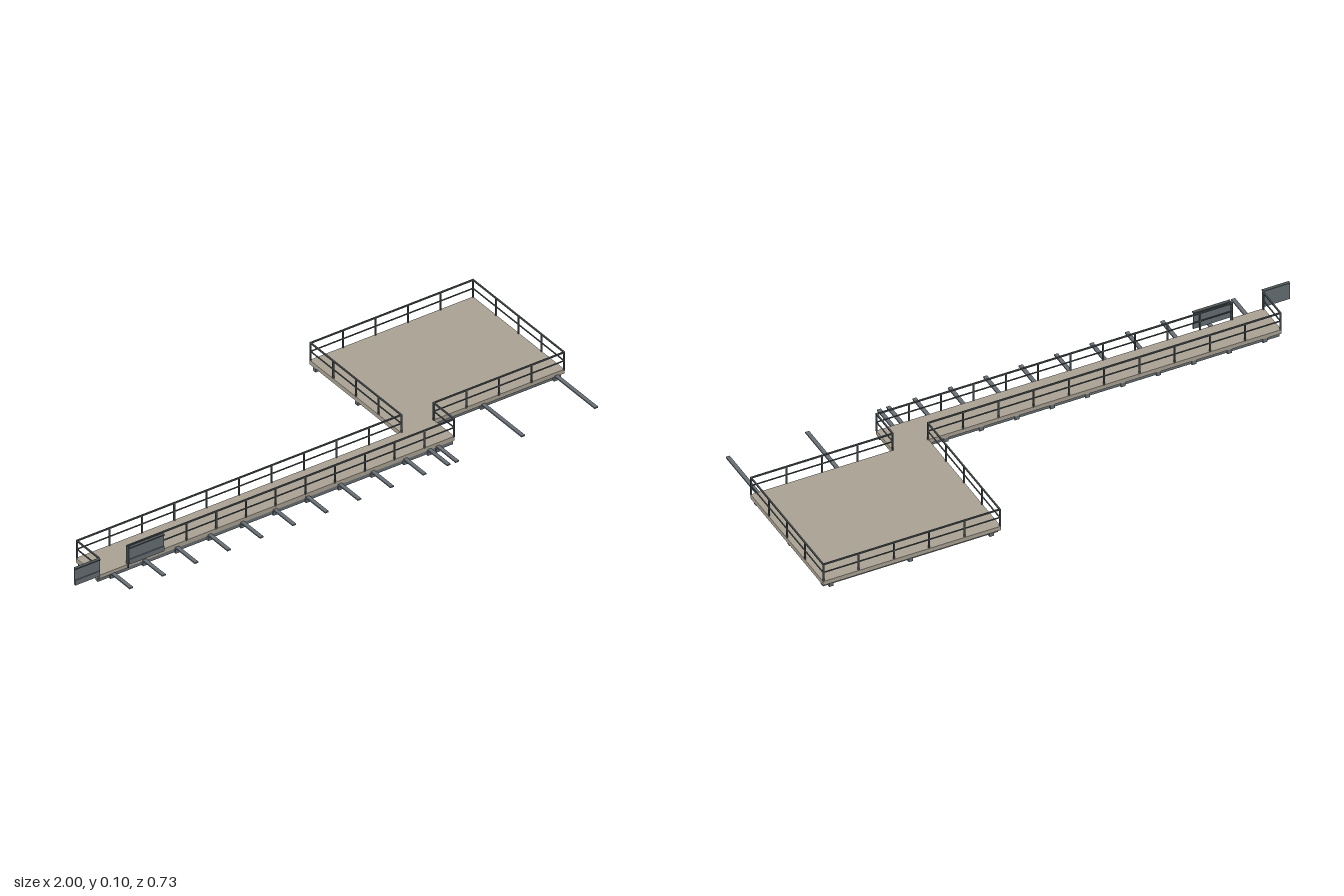
import * as THREE from 'three';

const mat = (name, color) => {
  const m = new THREE.MeshStandardMaterial({ color });
  m.name = name;
  return m;
};

export function createModel() {
  const root = new THREE.Group();
  root.name = 'jettyWithPlatform';
  const deckMat = mat('deck tan', 0xa9a193);
  const steel = mat('slate steel', 0x666e74);
  const railMat = mat('rail grey', 0x50575a);

  // Box given by its two opposite corners
  const box = (name, m, x0, x1, y0, y1, z0, z1, parent = root) => {
    const mesh = new THREE.Mesh(new THREE.BoxGeometry(x1 - x0, y1 - y0, z1 - z0), m);
    mesh.position.set((x0 + x1) / 2, (y0 + y1) / 2, (z0 + z1) / 2);
    mesh.name = name;
    parent.add(mesh);
    return mesh;
  };

  // Deck: one slab for the walkway and the wide platform
  const outline = [[-0.905, 0.14], [0.36, 0.14], [0.36, -0.367], [0.997, -0.367],
    [0.997, 0.143], [0.488, 0.143], [0.488, 0.258], [-0.905, 0.258]];
  const shape = new THREE.Shape(outline.map(([x, z]) => new THREE.Vector2(x, -z)));
  const slab = new THREE.ExtrudeGeometry(shape, { depth: 0.016, bevelEnabled: false });
  slab.rotateX(-Math.PI / 2);
  const deck = new THREE.Mesh(slab, deckMat);
  deck.name = 'deck';
  deck.position.y = 0.017;
  root.add(deck);
  box('threshold', deckMat, -0.905, -0.79, 0.02, 0.033, 0.256, 0.265);

  // Platform beams in both directions
  for (const z of [-0.344, -0.109, 0.126])
    box('platformCrossBeam', steel, 0.362, 0.99, 0.001, 0.017, z - 0.008, z + 0.008);
  for (const x of [0.39, 0.68, 0.965])
    box('platformLongBeam', steel, x - 0.008, x + 0.008, 0, 0.0172, -0.363, 0.142);

  // Walkway stringers
  for (const z of [0.152, 0.25])
    box('walkwayStringer', steel, -0.9, 0.484, 0.003, 0.017, z - 0.006, z + 0.006);

  // Cross beams below the walkway, with thin struts reaching forward
  const walkX = [0.39, 0.423];
  for (let i = 0; i < 10; i++) walkX.push(-0.847 + i * 0.127);
  for (const x of walkX) {
    box('walkwayCrossBeam', steel, x - 0.008, x + 0.008, 0, 0.0172, 0.142, 0.262);
    box('strut', steel, x - 0.007, x + 0.007, 0.0175, 0.022, 0.25, 0.367);
  }
  for (const x of [0.68, 0.965])
    box('platformStrut', steel, x - 0.007, x + 0.007, 0.0175, 0.022, 0.13, 0.367);

  // Railing between two points: evenly spaced posts and two rails
  const railing = (name, x0, z0, x1, z1, parts) => {
    const g = new THREE.Group();
    g.name = name;
    root.add(g);
    const r = 0.0024;
    for (let i = 0; i <= parts; i++) {
      const x = x0 + (x1 - x0) * i / parts, z = z0 + (z1 - z0) * i / parts;
      box('post', railMat, x - r, x + r, 0.031, 0.1, z - r, z + r, g);
    }
    for (const [y, t] of [[0.067, 0.0017], [0.0995, 0.0024]])
      box('rail', railMat, Math.min(x0, x1) - t, Math.max(x0, x1) + t, y - t, y + t,
        Math.min(z0, z1) - t, Math.max(z0, z1) + t, g);
  };
  railing('walkwayBackRailing', -0.902, 0.142, 0.362, 0.142, 10);
  railing('platformLeftRailing', 0.362, -0.364, 0.362, 0.142, 4);
  railing('platformBackRailing', 0.362, -0.364, 0.995, -0.364, 5);
  railing('platformRightRailing', 0.995, -0.364, 0.995, 0.144, 4);
  railing('platformFrontRailing', 0.487, 0.144, 0.995, 0.144, 4);
  railing('walkwayEndRailing', 0.487, 0.144, 0.487, 0.258, 1);
  railing('walkwayFrontRailing', -0.788, 0.258, 0.487, 0.258, 11);
  railing('walkwayLeftRailing', -0.902, 0.142, -0.902, 0.26, 1);

  // Gate leaves standing open on both sides of the entrance
  for (const [x0, x1] of [[-1, -0.903], [-0.788, -0.653]]) {
    box('gatePanel', steel, x0, x1, 0.037, 0.1, 0.266, 0.27);
    box('gateTopBar', railMat, x0, x1, 0.098, 0.102, 0.265, 0.276);
    box('gateLowBar', steel, x0, x1, 0.036, 0.055, 0.27, 0.273);
  }
  for (const x of [-0.902, -0.788])
    box('gateHingePost', railMat, x - 0.0025, x + 0.0025, 0.02, 0.101, 0.26, 0.267);

  return root;
}
